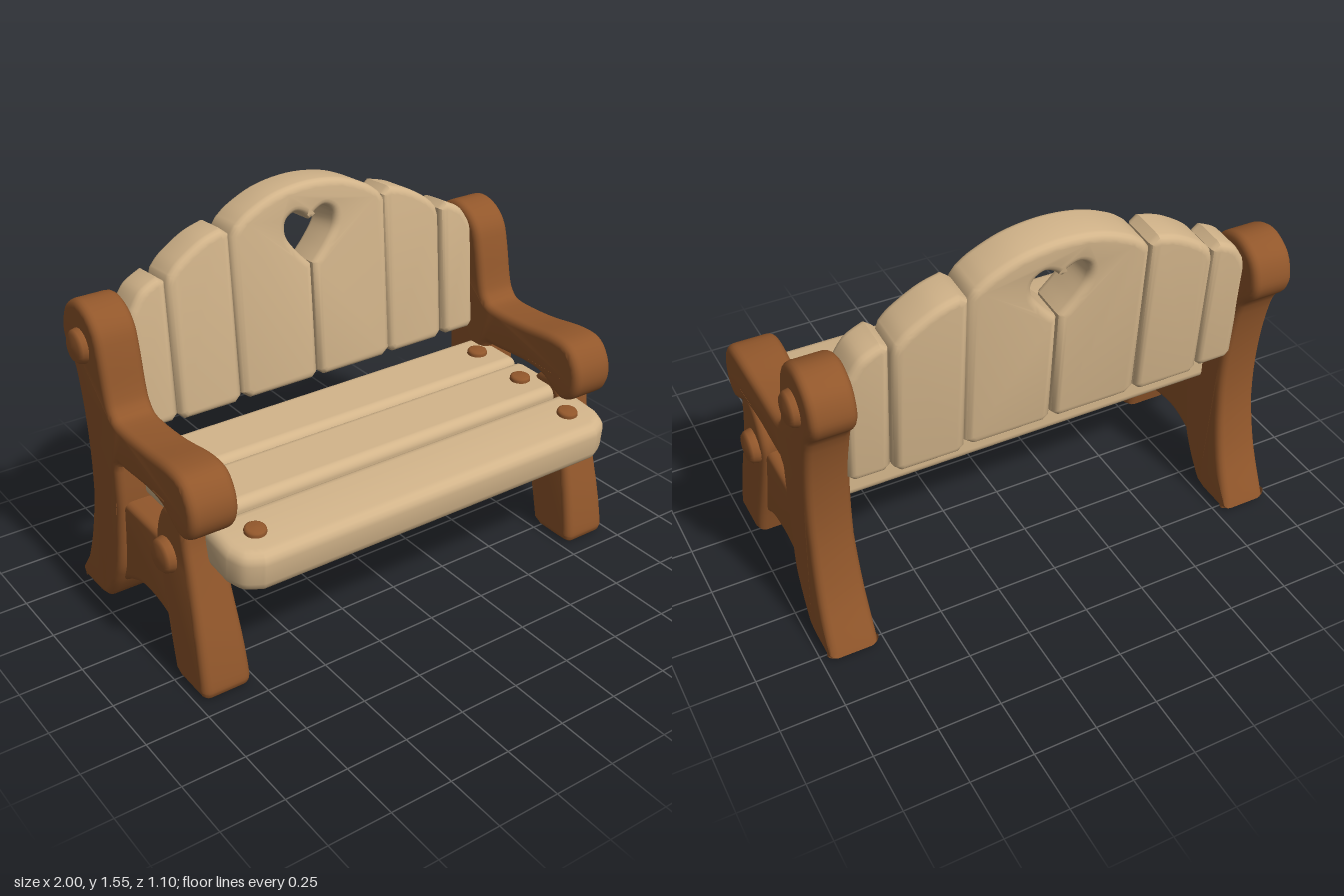
import * as THREE from 'three';
import { RoundedBoxGeometry } from 'three/addons/geometries/RoundedBoxGeometry.js';
import { toCreasedNormals } from 'three/addons/utils/BufferGeometryUtils.js';

const frameWood = new THREE.MeshStandardMaterial({ color: 0x92572b });
frameWood.name = 'brown frame';
const plankWood = new THREE.MeshStandardMaterial({ color: 0xd2b48a });
plankWood.name = 'tan planks';

const mesh = (name, geometry, material) => {
  const m = new THREE.Mesh(geometry, material);
  m.name = name;
  return m;
};

// Outline from runs of points: a run of one is a straight line, longer runs are smooth curves
function outline(runs) {
  const s = new THREE.Shape();
  runs.forEach((run, i) => {
    const pts = run.map(([x, y]) => new THREE.Vector2(x, y));
    if (i === 0) s.moveTo(pts[0].x, pts[0].y);
    else s.lineTo(pts[0].x, pts[0].y);
    if (pts.length > 1) s.splineThru(pts.slice(1));
  });
  return s;
}

// Extrusion centred on its thickness, with rounded edges inside the outline
function slab(shape, thickness, bevel) {
  const g = new THREE.ExtrudeGeometry(shape, {
    depth: thickness - 2 * bevel, bevelSize: bevel, bevelThickness: bevel,
    bevelOffset: -bevel, bevelSegments: 4, curveSegments: 4,
  });
  g.translate(0, 0, -(thickness - 2 * bevel) / 2);
  return g;
}

// Side-frame piece drawn in (z, y); the width follows the height
function framePiece(name, runs, width, halfWidthAt) {
  const g = slab(outline(runs), width, 0.03);
  g.rotateY(-Math.PI / 2);
  const p = g.attributes.position;
  if (halfWidthAt) {
    for (let i = 0; i < p.count; i++) {
      p.setX(i, p.getX(i) * halfWidthAt(p.getY(i), p.getZ(i)) / (width / 2));
    }
  }
  return mesh(name, toCreasedNormals(g, 0.7), frameWood);
}

const { lerp, smoothstep } = THREE.MathUtils;
const legWidth = (y) => lerp(0.1, 0.08, smoothstep(y, 0, 0.55));
const postWidth = (y, z) => (y < 0.5 ? lerp(0.1, 0.085, y / 0.5) : 0.087) + 0.01 * smoothstep(z, 0, 0.3);

// Round-headed peg along +y
function peg(name, radius, height) {
  const pts = [[radius, 0], [radius, height * 0.55], [radius * 0.93, height * 0.8],
    [radius * 0.75, height * 0.95], [0, height]].map(([x, y]) => new THREE.Vector2(x, y));
  return mesh(name, new THREE.LatheGeometry(pts, 20), frameWood);
}

function sideFrame(side) {
  const g = new THREE.Group();
  g.name = side > 0 ? 'leftFrame' : 'rightFrame';
  // Back post with scrolled armrest
  g.add(framePiece('backPostAndArm', [
    [[-0.35, 0.01], [-0.39, 0]],
    [[-0.52, 0], [-0.545, 0.012], [-0.54, 0.04], [-0.46, 0.25], [-0.415, 0.5], [-0.42, 0.75],
      [-0.465, 0.975], [-0.53, 1.06], [-0.546, 1.13], [-0.51, 1.22], [-0.42, 1.27], [-0.33, 1.252],
      [-0.265, 1.19], [-0.235, 1.09], [-0.21, 0.96], [-0.185, 0.9], [-0.13, 0.872], [0.06, 0.875],
      [0.24, 0.895], [0.34, 0.88], [0.395, 0.81], [0.405, 0.73], [0.375, 0.665], [0.32, 0.64],
      [0.26, 0.665], [0.19, 0.702], [0.08, 0.71], [-0.1, 0.7], [-0.155, 0.7]],
    [[-0.172, 0.68], [-0.175, 0.5], [-0.2, 0.25], [-0.24, 0.145], [-0.305, 0.05], [-0.34, 0.012]],
  ], 0.18, postWidth));
  // Front leg
  g.add(framePiece('frontLeg', [
    [[0.25, 0], [0.4, 0], [0.428, 0.015], [0.43, 0.06], [0.4, 0.22], [0.35, 0.42], [0.315, 0.57],
      [0.3, 0.66], [0.24, 0.715], [0.17, 0.7], [0.12, 0.64], [0.088, 0.54], [0.105, 0.43],
      [0.14, 0.28], [0.185, 0.12], [0.21, 0.02]],
  ], 0.18, legWidth));
  // Arched stretcher
  g.add(framePiece('stretcher', [
    [[0.24, 0.52]], [[0.24, 0.11]], [[0.17, 0.14], [0.1, 0.18], [0, 0.2], [-0.1, 0.195], [-0.21, 0.15]],
    [[-0.27, 0.11]], [[-0.27, 0.52]],
  ], 0.13));
  // Outer pegs
  for (const [y, z] of [[1.1, -0.385], [0.5, 0.18]]) {
    const p = peg('sidePeg', 0.07, 0.09);
    p.rotation.z = -side * Math.PI / 2;
    p.position.set(side * 0.035, y, z);
    g.add(p);
  }
  g.position.x = side * 0.875;
  return g;
}

// Seat plank with pegs near each end
function seatPlank(name, geometry, y, z, tilt, thickness) {
  const g = new THREE.Group();
  g.name = name;
  g.add(mesh('plank', geometry, plankWood));
  for (const x of [-0.73, 0.73]) {
    for (const face of [1, -1]) {
      const p = peg('seatPeg', 0.042, 0.03);
      p.position.set(x, face * (thickness / 2 - 0.008), 0);
      if (face < 0) p.rotation.x = Math.PI;
      g.add(p);
    }
  }
  g.position.set(0, y, z);
  g.rotation.x = tilt;
  return g;
}

function seat() {
  const g = new THREE.Group();
  g.name = 'seat';
  // Front plank, with clipped front corners in plan
  const front = slab(outline([
    [[-0.84, 0.14]], [[-0.87, 0.11]], [[-0.87, -0.03], [-0.84, -0.1], [-0.77, -0.14]],
    [[0.77, -0.14], [0.84, -0.1], [0.87, -0.03]], [[0.87, 0.11]], [[0.84, 0.14]],
  ]), 0.165, 0.045);
  front.rotateX(-Math.PI / 2);
  g.add(seatPlank('frontPlank', placeFront(front), 0.555, 0.408, 0.1, 0.165));
  g.add(seatPlank('middlePlank', new RoundedBoxGeometry(1.7, 0.16, 0.275, 4, 0.04), 0.59, 0.127, 0.02, 0.16));
  g.add(seatPlank('rearPlank', new RoundedBoxGeometry(1.7, 0.16, 0.27, 4, 0.04), 0.597, -0.15, 0.02, 0.16));
  return g;
}

// Laying the plank flat turns its -y edge into the +z front edge
function placeFront(g) {
  return toCreasedNormals(g, 0.7);
}

function backrest() {
  const g = new THREE.Group();
  g.name = 'backrest';
  const add = (name, runs, thickness, z) => {
    const m = mesh(name, toCreasedNormals(slab(outline(runs), thickness, 0.03), 0.7), plankWood);
    m.position.z = z;
    g.add(m);
  };
  const flip = (pts) => pts.map(([x, y]) => [-x, y]).reverse();

  // Centre pair of planks, joined above the heart cut-out
  const right = [[0.004, 0.03], [0.03, 0.006], [0.32, 0.006], [0.355, 0.035], [0.355, 0.68]].map((p) => [p]);
  const left = right.map(([p]) => [[-p[0], p[1]]]).reverse();
  const heart = [[-0.004, 0.49], [-0.06, 0.55], [-0.108, 0.62], [-0.108, 0.68], [-0.07, 0.708], [-0.03, 0.695], [0, 0.667]];
  const crown = [[0.33, 0.715], [0.27, 0.757], [0.15, 0.805], [0, 0.823]];
  add('centrePlanks', [...right, [...crown, ...flip(crown).slice(1)], ...left, heart, flip(heart)], 0.185, 0);
  const filler = mesh('centreSeam', new THREE.BoxGeometry(0.02, 0.45, 0.11), plankWood);
  filler.position.y = 0.25;
  g.add(filler);

  // Stepped planks on both sides
  const inner = [[[0.385, 0.002]], [[0.61, 0.002]], [[0.637, 0.03]], [[0.637, 0.545]],
    [[0.625, 0.585], [0.58, 0.63], [0.48, 0.69], [0.39, 0.718]], [[0.357, 0.69]], [[0.357, 0.03]]];
  const outer = [[[0.665, 0.01]], [[0.78, 0.01]], [[0.805, 0.035]], [[0.805, 0.45]],
    [[0.79, 0.49], [0.745, 0.555], [0.67, 0.595]], [[0.639, 0.57]], [[0.639, 0.035]]];
  for (const side of [1, -1]) {
    const s = (runs) => (side > 0 ? runs : runs.map(flip).reverse());
    add('innerPlank', s(inner), 0.18, side > 0 ? -0.012 : -0.003);
    add('outerPlank', s(outer), 0.17, 0.002);
  }
  g.position.set(0, 0.722, -0.35);
  g.rotation.x = -0.07;
  return g;
}

export function createModel() {
  const model = new THREE.Group();
  model.name = 'bench';
  model.add(sideFrame(1), sideFrame(-1), seat(), backrest());
  return model;
}
